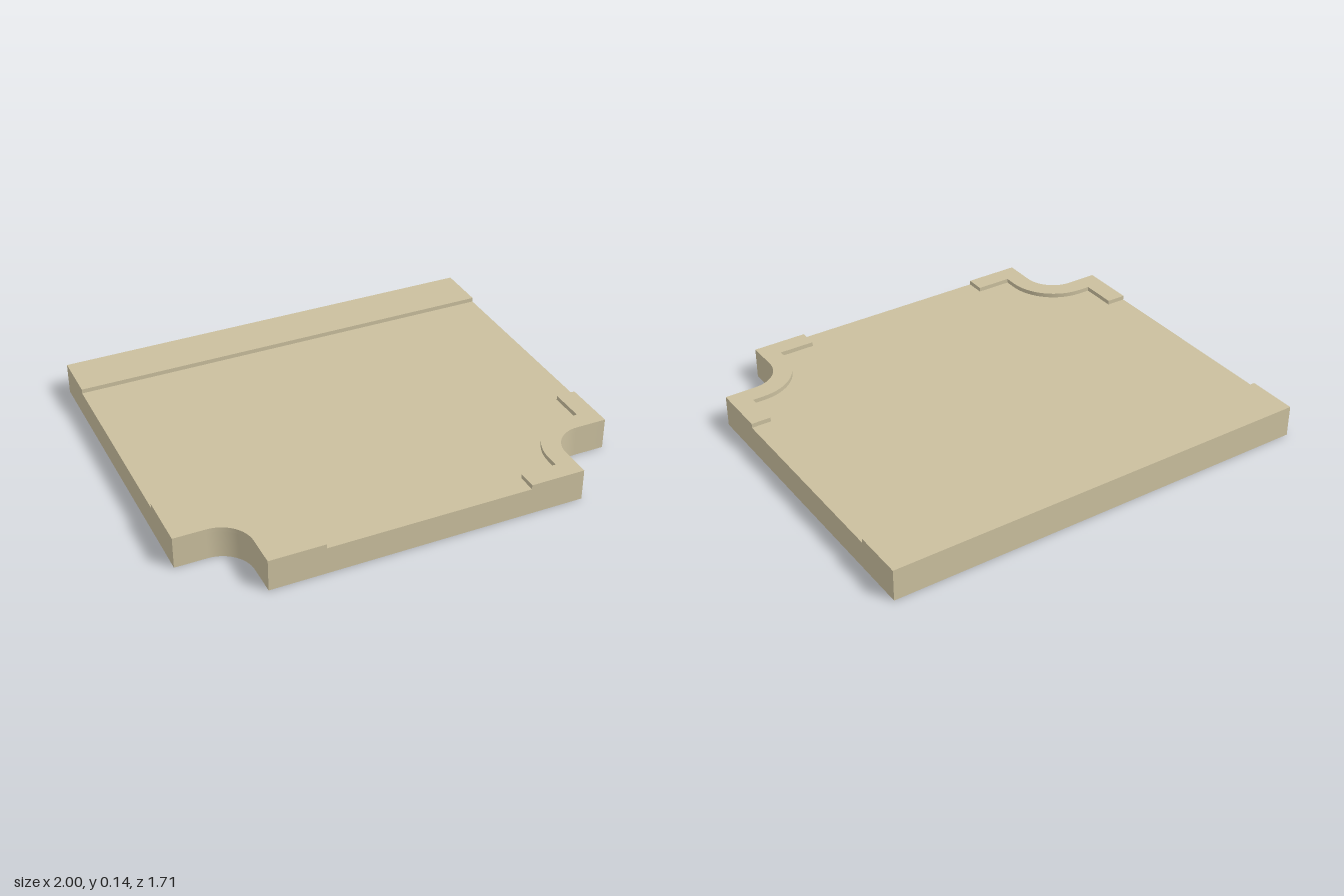
import * as THREE from 'three';
import { toCreasedNormals } from 'three/addons/utils/BufferGeometryUtils.js';

const SLAB = 0.125, TOP = 0.145; // road surface and curb heights
const W = 1, BACK = -0.857, FRONT = 0.857;
const CX = 0.857, CZ = 0.714; // centre of the right corner arc

// Quarter arc from the side edge round to the front edge, as [x, z] points
function cornerArc(r, steps = 16) {
  const pts = [];
  for (let i = 0; i <= steps; i++) {
    const a = -Math.PI / 2 - (i / steps) * Math.PI / 2;
    pts.push([CX + r * Math.cos(a), CZ + r * Math.sin(a)]);
  }
  return pts;
}

const mirror = (pts) => pts.map(([x, z]) => [-x, z]);

// Extrude a plan outline [x, z] between two heights
function plate(name, pts, y0, y1, material) {
  const shape = new THREE.Shape(pts.map(([x, z]) => new THREE.Vector2(x, z)));
  const geo = new THREE.ExtrudeGeometry(shape, { depth: y1 - y0, bevelEnabled: false });
  geo.rotateX(Math.PI / 2).translate(0, y1, 0);
  const mesh = new THREE.Mesh(toCreasedNormals(geo, 0.4), material);
  mesh.name = name;
  return mesh;
}

export function createModel() {
  const group = new THREE.Group();
  group.name = 'roadTile';
  const stone = new THREE.MeshStandardMaterial({ color: 0xcabf9e });
  stone.name = 'sandStone';

  // Slab with two rounded notches in the front corners
  const notch = [[W, 0.57], ...cornerArc(0.144), [0.713, FRONT]];
  const slab = [[-W, BACK], [W, BACK], ...notch, ...mirror(notch).reverse()];
  group.add(plate('slab', slab, 0, SLAB, stone));

  // Straight raised strip along the back
  const strip = [[-W, BACK], [W, BACK], [W, -0.625], [-W, -0.625]];
  group.add(plate('backStrip', strip, SLAB, TOP, stone));

  // Raised curbs around the notches, with a square tab at each end
  const curb = [
    ...notch,
    [0.463, FRONT], [0.463, 0.77], [0.627, 0.77],
    ...cornerArc(0.23).reverse(),
    [0.91, 0.484], [0.91, 0.318], [W, 0.318],
  ];
  group.add(plate('leftCurb', curb, SLAB, TOP, stone));
  group.add(plate('rightCurb', mirror(curb), SLAB, TOP, stone));

  return group;
}
